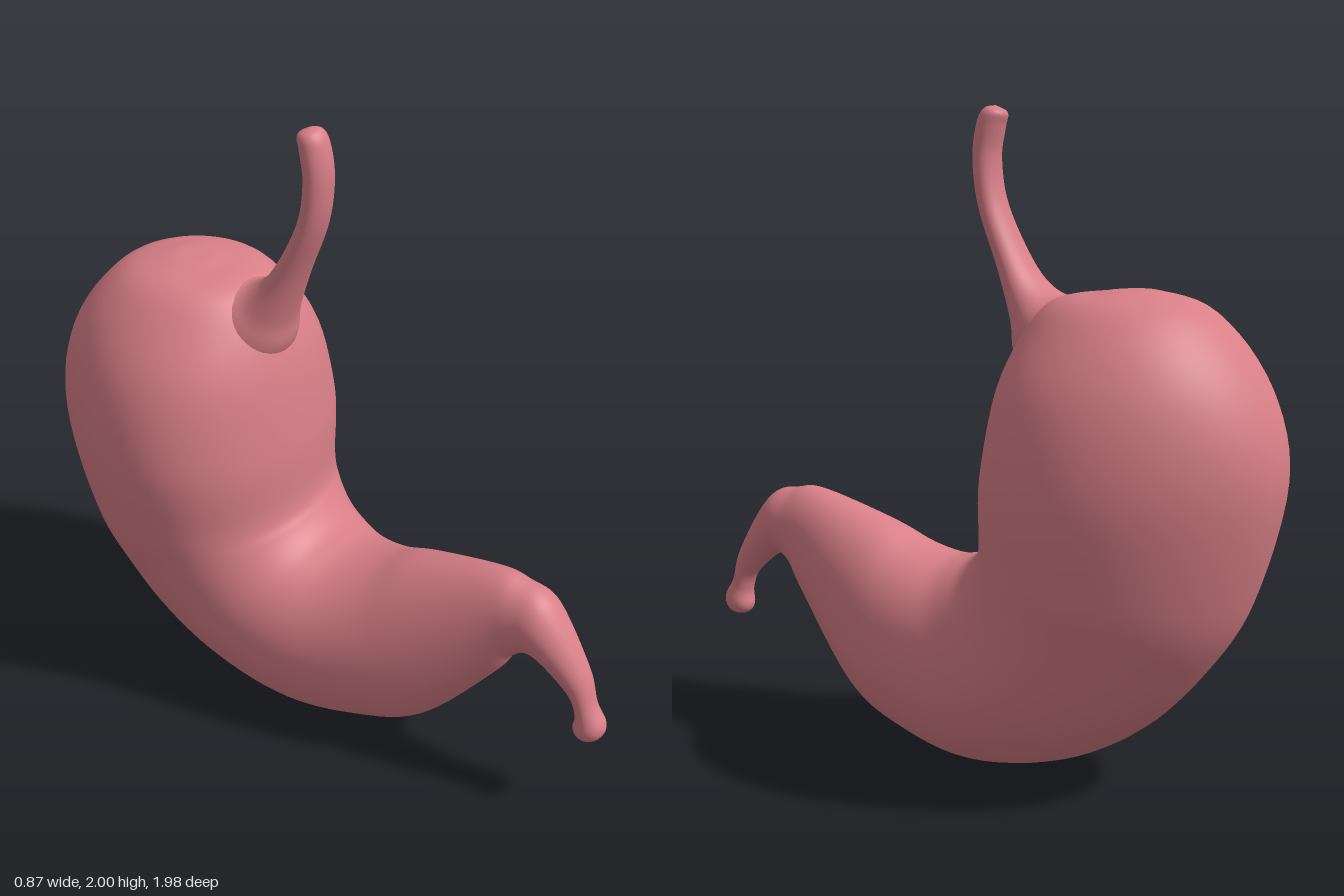
import * as THREE from 'three';
import { mergeVertices } from 'three/addons/utils/BufferGeometryUtils.js';

// Each station: [inner z, inner y, outer z, outer y, half width].
// The inner edge is the lesser curvature, the outer edge the greater one.
const STOMACH = [
  // fundus
  [-0.52, 1.49, -0.52, 1.49, 0],
  [-0.43, 1.482, -0.61, 1.485, 0.095],
  [-0.27, 1.44, -0.77, 1.425, 0.23],
  [-0.165, 1.25, -0.93, 1.22, 0.375],
  // body
  [-0.115, 0.97, -0.986, 0.97, 0.43],
  [-0.105, 0.76, -0.9, 0.62, 0.405],
  [-0.075, 0.7, -0.78, 0.41, 0.375],
  [-0.03, 0.66, -0.6, 0.21, 0.345],
  [0.02, 0.642, -0.36, 0.068, 0.32],
  // antrum
  [0.09, 0.635, -0.06, 0.003, 0.288],
  [0.2, 0.66, 0.2, 0.045, 0.245],
  [0.33, 0.715, 0.4, 0.14, 0.198],
  [0.58, 0.783, 0.62, 0.41, 0.115],
  // pylorus and outlet
  [0.68, 0.777, 0.68, 0.51, 0.095],
  [0.78, 0.74, 0.75, 0.545, 0.085],
  [0.91, 0.55, 0.86, 0.46, 0.053],
  [0.95, 0.435, 0.893, 0.39, 0.044],
  [0.988, 0.37, 0.89, 0.335, 0.05],
  [0.978, 0.325, 0.908, 0.309, 0.036],
  [0.945, 0.305, 0.945, 0.305, 0],
];

// From the rounded tip down to the flared base sunk in the body.
const OESOPHAGUS = [
  [-0.075, 2.0, -0.075, 2.0, 0],
  [-0.042, 1.992, -0.109, 1.977, 0.04],
  [-0.02, 1.95, -0.1, 1.935, 0.051],
  [-0.009, 1.85, -0.086, 1.845, 0.055],
  [-0.03, 1.71, -0.11, 1.71, 0.06],
  [-0.1, 1.53, -0.2, 1.54, 0.076],
  [-0.15, 1.38, -0.28, 1.47, 0.105],
  [-0.165, 1.29, -0.37, 1.455, 0.14],
  [-0.21, 1.2, -0.5, 1.39, 0.19],
];

// Smooth skin over sections strung between the two edge curves.
function loft(stations, steps, sides) {
  const curve = (pick) => new THREE.CatmullRomCurve3(
    stations.map((s) => new THREE.Vector3(...pick(s))), false, 'catmullrom', 0.5);
  const inner = curve((s) => [s[4], s[1], s[0]]);
  const outer = curve((s) => [s[4], s[3], s[2]]);
  const rows = (stations.length - 1) * steps;
  const positions = [];
  const index = [];
  for (let i = 0; i <= rows; i++) {
    const a = inner.getPoint(i / rows);
    const b = outer.getPoint(i / rows);
    const egg = 1.4 * Math.max(0, a.x - 0.3); // wide sections are fuller inside
    for (let j = 0; j < sides; j++) {
      const t = (j / sides) * Math.PI * 2;
      const c = Math.cos(t);
      positions.push(
        a.x * Math.sin(t) * (1 + egg * c),
        (a.y + b.y) / 2 + c * (a.y - b.y) / 2,
        (a.z + b.z) / 2 + c * (a.z - b.z) / 2);
      if (i < rows) {
        const k = (j + 1) % sides;
        const p = i * sides, q = p + sides;
        index.push(p + j, q + j, p + k, p + k, q + j, q + k);
      }
    }
  }
  let geometry = new THREE.BufferGeometry();
  geometry.setAttribute('position', new THREE.Float32BufferAttribute(positions, 3));
  geometry.setIndex(index);
  geometry = mergeVertices(geometry, 1e-5); // close the poles
  geometry.computeVertexNormals();
  return geometry;
}

export function createModel() {
  const group = new THREE.Group();
  group.name = 'stomach';
  const material = new THREE.MeshStandardMaterial({ color: 0xd97f88 });
  const add = (name, stations, sides) => {
    const mesh = new THREE.Mesh(loft(stations, 6, sides), material);
    mesh.name = name;
    group.add(mesh);
  };
  add('stomachBody', STOMACH, 64);
  add('oesophagus', OESOPHAGUS, 40);
  return group;
}
